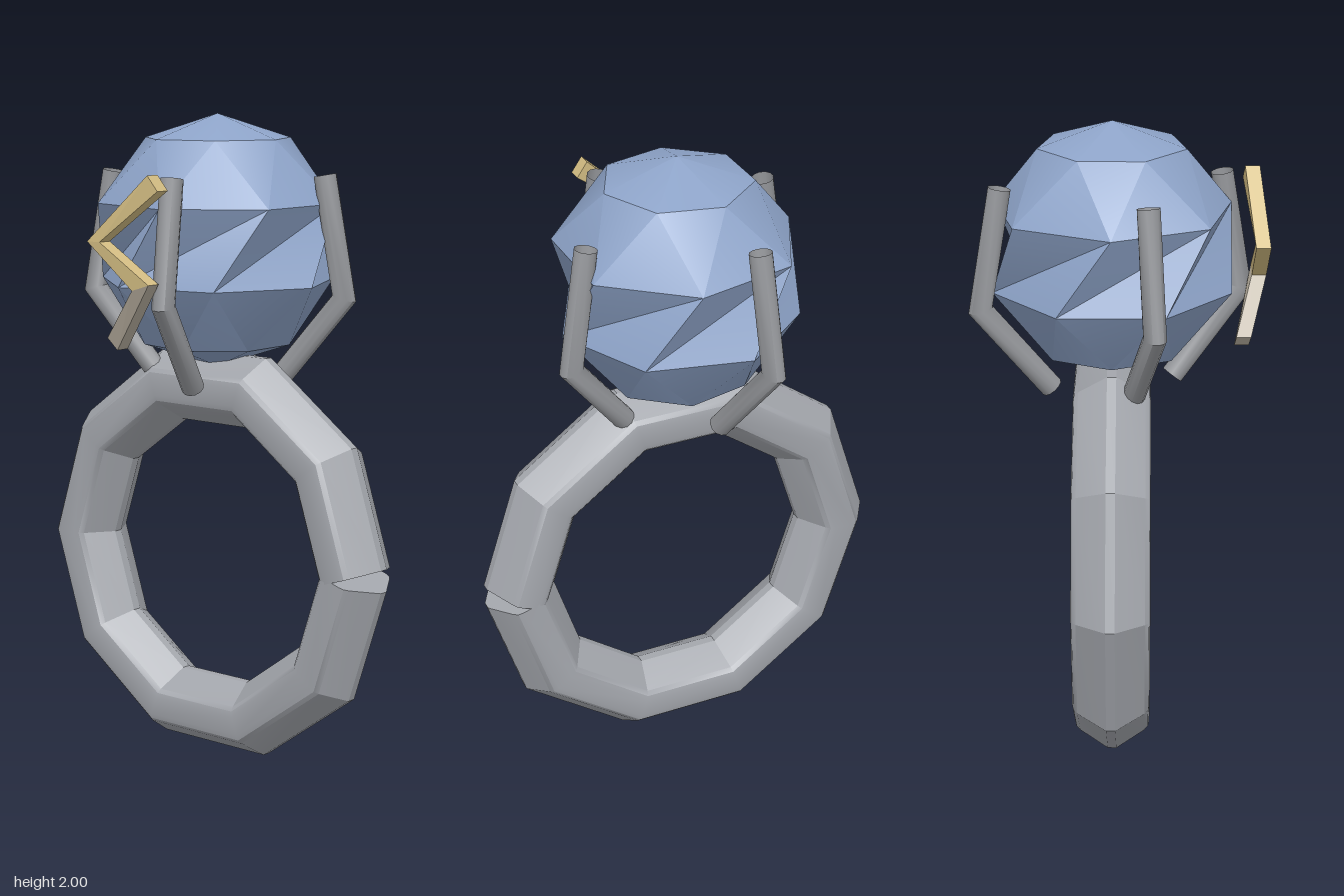
import * as THREE from 'three';
import { toCreasedNormals } from 'three/addons/utils/BufferGeometryUtils.js';
import { ConvexGeometry } from 'three/addons/geometries/ConvexGeometry.js';

const Z0 = -0.018; // depth of the ring's middle plane

function build(positions, index, crease) {
  const g = new THREE.BufferGeometry();
  g.setAttribute('position', new THREE.Float32BufferAttribute(positions, 3));
  g.setIndex(index);
  return toCreasedNormals(g, crease);
}

// Sweep a section of [outward, z] points along a flat xy path with mitred corners
function sweep(path, section, crease, capped) {
  const pos = [], index = [], m = section.length, last = path.length - 1;
  path.forEach((p, i) => {
    const before = p.clone().sub(path[Math.max(i - 1, 0)]).normalize();
    const after = path[Math.min(i + 1, last)].clone().sub(p).normalize();
    const t = before.clone().add(after).normalize();
    const scale = 1 / (i === 0 || i === last ? 1 : t.dot(before));
    for (const [o, z] of section) pos.push(p.x + t.y * o * scale, p.y - t.x * o * scale, z);
  });
  for (let i = 0; i < last; i++) {
    for (let j = 0; j < m; j++) {
      const k = (j + 1) % m, a = i * m + j, b = i * m + k, c = b + m, d = a + m;
      index.push(a, d, c, a, c, b);
    }
  }
  if (capped) {
    for (let j = 1; j < m - 1; j++) {
      index.push(0, j, j + 1, last * m, last * m + j + 1, last * m + j);
    }
  }
  return build(pos, index, crease);
}

// Faceted stone: seven-sided rows, every second row turned by half a side
function stoneGeometry(radius) {
  const sides = 7, rows = 5, pos = [], index = [];
  for (let r = 0; r <= rows; r++) {
    const polar = (r / rows) * Math.PI;
    for (let i = 0; i < sides; i++) {
      const a = Math.PI + ((i + (r % 2) / 2) / sides) * Math.PI * 2;
      const s = Math.sin(polar) * radius;
      pos.push(s * Math.cos(a), radius * Math.cos(polar), s * Math.sin(a));
    }
  }
  for (let r = 0; r < rows; r++) {
    // odd rows start half a side further round, so step the index back to keep the columns
    for (let i = 0; i < sides; i++) {
      const k = (i + 1) % sides;
      const u = r * sides + i, u2 = r * sides + k;
      const l = u + sides, l2 = u2 + sides;
      if (r > 0) index.push(u, u2, l2);
      if (r < rows - 1) index.push(u, l2, l);
    }
  }
  return build(pos, index, 0.52);
}

export function createModel() {
  const model = new THREE.Group();
  const mat = (name, color, side = THREE.FrontSide) => {
    const m = new THREE.MeshStandardMaterial({ color, side });
    m.name = name;
    return m;
  };
  const silver = mat('silver', 0xa3a6ac);
  const darkSilver = mat('dark silver', 0x97999d, THREE.DoubleSide);
  const blue = mat('stone blue', 0x8ea4c9);
  const gold = mat('gold', 0xd2bc82);
  const paleGold = mat('pale gold', 0xb9b0a0);
  const add = (name, geometry, material, parent = model) => {
    const mesh = new THREE.Mesh(geometry, material);
    mesh.name = name;
    parent.add(mesh);
    return mesh;
  };

  // Ten-sided band with a bevelled six-sided section, left open at its left end
  const bandPath = [];
  for (let i = 0; i <= 10; i++) {
    const a = (i / 10) * Math.PI * 2;
    bandPath.push(new THREE.Vector2(0.545 * Math.cos(a), 0.634 + 0.545 * Math.sin(a)));
  }
  const quarter = [[0.111, 0.014], [0.056, 0.102], [0.044, 0.114], [0.028, 0.118]];
  const flip = (pts, sx, sz) => pts.map(([x, z]) => [x * sx, z * sz]);
  const reversed = [...quarter].reverse();
  const bandSection = [
    ...quarter, ...flip(reversed, -1, 1), ...flip(quarter, -1, -1), ...flip(reversed, 1, -1),
  ];
  add('band', sweep(bandPath, bandSection, 0.5, true), silver).position.z = Z0;

  // Stone
  add('stone', stoneGeometry(0.39), blue).position.set(0, 1.61, Z0);

  // Four bent hollow prongs
  const prongPath = [[0.195, 1.18], [0.415, 1.45], [0.35, 1.82]].map(p => new THREE.Vector2(...p));
  const circle = [];
  for (let i = 0; i < 12; i++) {
    const a = (i / 12) * Math.PI * 2;
    circle.push([0.035 * Math.cos(a), 0.035 * Math.sin(a)]);
  }
  const prongGeometry = sweep(prongPath, circle, 0.7, false);
  const prongs = new THREE.Group();
  prongs.name = 'prongs';
  prongs.position.z = Z0;
  for (let i = 0; i < 4; i++) {
    add('prong', prongGeometry, darkSilver, prongs).rotation.y = -(0.4 + i * 0.5) * Math.PI;
  }
  model.add(prongs);

  // Zigzag ornament in front: joints as two front corners each
  const joints = [
    [[0.115, 1.835, 0.43], [0.15, 1.79, 0.425]],
    [[-0.1, 1.635, 0.458], [-0.05, 1.635, 0.458]],
    [[0.075, 1.5, 0.455], [0.14, 1.52, 0.455]],
    [[-0.07, 1.345, 0.405], [-0.035, 1.31, 0.4]],
  ];
  const zigzag = new THREE.Group();
  zigzag.name = 'zigzag';
  for (let i = 0; i < 3; i++) {
    const corners = [...joints[i], ...joints[i + 1]].flatMap(([x, y, z]) => [
      new THREE.Vector3(x, y, z), new THREE.Vector3(x, y, z - 0.045),
    ]);
    add('zigzagSegment', new ConvexGeometry(corners), i < 2 ? gold : paleGold, zigzag);
  }
  model.add(zigzag);

  return model;
}
